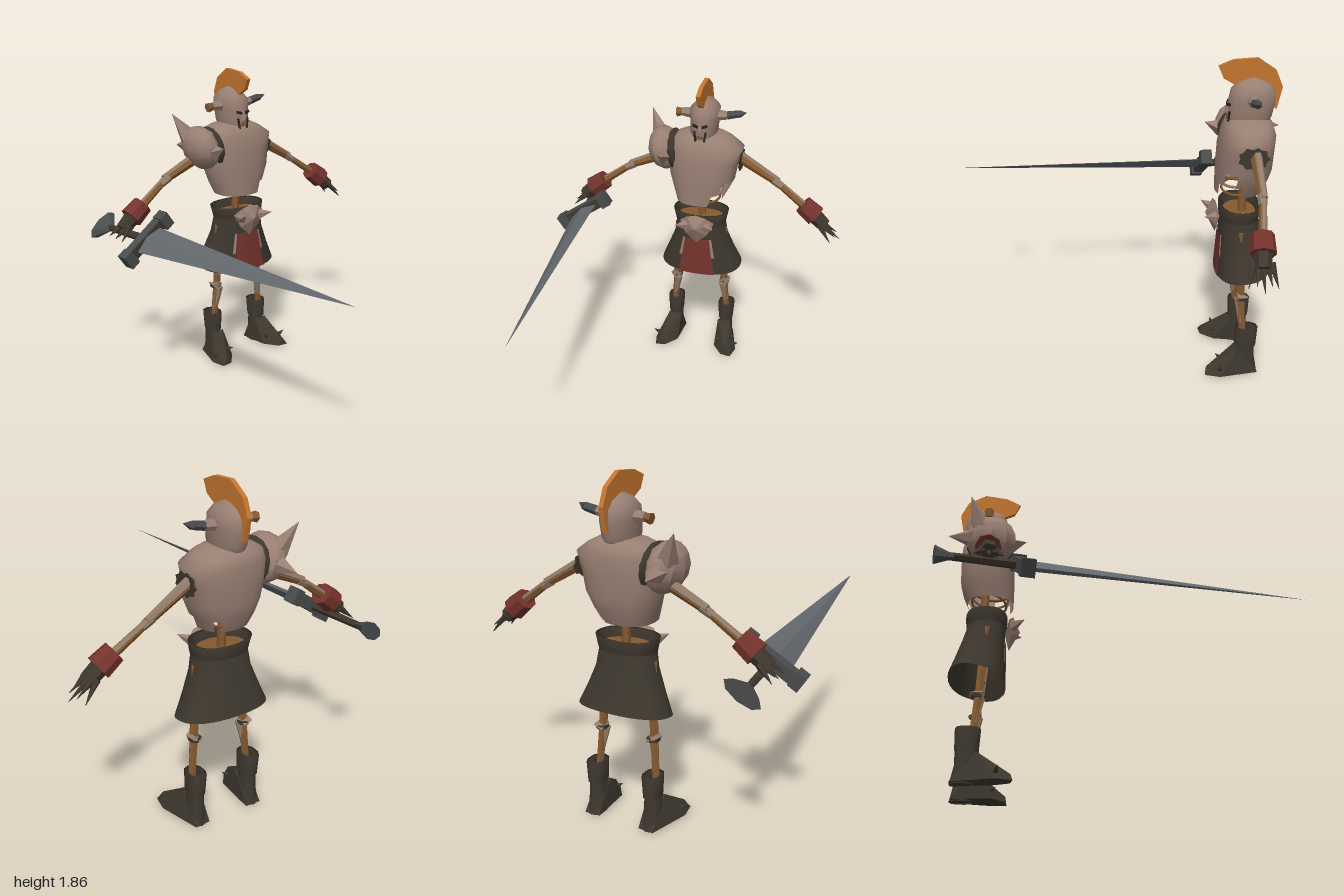
import * as THREE from 'three';
import { ConvexGeometry } from 'three/addons/geometries/ConvexGeometry.js';
import { toCreasedNormals } from 'three/addons/utils/BufferGeometryUtils.js';

const V = (x, y, z) => new THREE.Vector3(x, y, z);
const material = (name, color) => {
  const m = new THREE.MeshStandardMaterial({ color, side: THREE.DoubleSide });
  m.name = name;
  return m;
};

export function createModel() {
  const root = new THREE.Group();
  root.name = 'skeletonWarrior';
  const armor = material('paleArmor', 0x987f72);
  const leather = material('darkLeather', 0x3d372d);
  const red = material('redCloth', 0x75332d);
  const bone = material('brownBone', 0x84592f);
  const pale = material('paleBone', 0x927c69);
  const orange = material('orangeCrest', 0xc4752f);
  const steel = material('bladeSteel', 0x62676c);
  const horn = material('darkSteel', 0x484c4b);
  const black = material('shadowBrown', 0x2b241d);

  const add = (name, geo, mat, parent = root) => {
    const m = new THREE.Mesh(geo, mat);
    m.name = name;
    parent.add(m);
    return m;
  };
  const crease = (g) => toCreasedNormals(g, 0.6);

  // Tapered cylinder between two points
  const rod = (name, a, b, ra, rb, mat, sides = 6, parent = root) => {
    const dir = b.clone().sub(a);
    const m = add(name, crease(new THREE.CylinderGeometry(rb, ra, dir.length(), sides)), mat, parent);
    m.position.copy(a).addScaledVector(dir, 0.5);
    m.quaternion.setFromUnitVectors(V(0, 1, 0), dir.normalize());
    return m;
  };
  const spike = (name, a, b, r, mat, sides = 5) => rod(name, a, b, r, 0.001, mat, sides);
  const hull = (name, pts, mat) => add(name, new ConvexGeometry(pts.map((p) => V(...p))), mat);

  // Skin over rings [y, xMin, xMax, zMin, zMax, backLift], listed bottom to top
  const loft = (name, rings, mat, { n = 24, e = 0.85, grow = 0, keep = () => true } = {}) => {
    const pos = [], idx = [];
    const soft = (v) => Math.sign(v) * Math.abs(v) ** e;
    rings.forEach(([y, x0, x1, z0, z1, lift = 0]) => {
      for (let i = 0; i < n; i++) {
        const a = (i / n) * Math.PI * 2;
        const c = soft(Math.cos(a));
        pos.push((x0 + x1) / 2 + ((x1 - x0) / 2 + grow) * soft(Math.sin(a)),
          y + lift * (1 - c) / 2, (z0 + z1) / 2 + ((z1 - z0) / 2 + grow) * c);
      }
    });
    for (let j = 0; j < rings.length - 1; j++) for (let i = 0; i < n; i++) {
      if (!keep(i, j)) continue;
      const k = (i + 1) % n, a = j * n + i, b = j * n + k, c = b + n, d = a + n;
      idx.push(a, b, c, a, c, d);
    }
    const g = new THREE.BufferGeometry();
    g.setAttribute('position', new THREE.Float32BufferAttribute(pos, 3));
    g.setIndex(idx);
    g.computeVertexNormals();
    return add(name, g, mat);
  };

  // Breastplate, torn open at the lower left
  loft('breastplate', [
    [1.10, -0.14, 0.14, -0.82, -0.56], [1.17, -0.165, 0.175, -0.85, -0.56],
    [1.25, -0.19, 0.215, -0.87, -0.56], [1.37, -0.21, 0.235, -0.875, -0.565],
    [1.45, -0.21, 0.26, -0.875, -0.58], [1.50, -0.18, 0.19, -0.86, -0.60],
    [1.525, -0.13, 0.14, -0.83, -0.63], [1.54, -0.05, 0.07, -0.79, -0.68]],
  armor, { keep: (i, j) => !(j < 2 - (i === 2 || i === 5 ? 1 : 0) && i > 1 && i < 6) && !(j === 0 && i === 9) });
  // Ragged patch round the bare shoulder
  const rag = new THREE.Shape();
  for (let i = 0; i < 18; i++) {
    const a = (i / 18) * Math.PI * 2, r = i % 2 ? 0.9 : 1.08;
    rag[i ? 'lineTo' : 'moveTo'](0.08 * r * Math.cos(a), 0.062 * r * Math.sin(a));
  }
  const patch = add('shoulderRag', new THREE.ExtrudeGeometry(rag, { depth: 0.008, bevelEnabled: false }), leather);
  patch.position.set(0.243, 1.37, -0.735);
  patch.rotation.set(0, Math.PI / 2, 0);

  // Spine, ribs and pelvis
  rod('spine', V(0.01, 0.92, -0.72), V(0.01, 1.5, -0.73), 0.024, 0.022, bone);
  for (let i = 0; i < 4; i++) {
    const rib = add('rib', new THREE.TorusGeometry(1, 0.07, 5, 20), i % 2 ? pale : bone);
    rib.scale.set(0.115 + i * 0.015, 0.1 + i * 0.008, 0.11);
    rib.rotation.set(Math.PI / 2 + 0.12, (i - 1) * 0.08, 0);
    rib.position.set(0.01, 1.12 + i * 0.045, -0.70);
  }
  const pelvis = add('pelvis', new THREE.CylinderGeometry(0.15, 0.13, 0.03, 16), bone);
  pelvis.scale.z = 0.65;
  pelvis.position.set(0.01, 0.955, -0.71);

  // Skirt with its front cloth and belt
  const skirt = [[0.60, -0.25, 0.275, -0.9, -0.585, 0.055], [0.72, -0.205, 0.225, -0.87, -0.59, 0.03],
    [0.85, -0.16, 0.18, -0.84, -0.595], [0.96, -0.145, 0.165, -0.81, -0.6]];
  loft('skirt', skirt, leather, { n: 32 });
  loft('frontCloth', skirt.slice(0, 3), red, { n: 32, grow: 0.005, keep: (i) => i < 2 || i > 29 });
  loft('clothTatters', skirt.slice(0, 3), armor,
    { n: 64, grow: 0.004, keep: (i, j) => j === 1 && (i === 4 || i === 59) });
  loft('belt', [[0.945, -0.15, 0.17, -0.815, -0.595], [0.97, -0.155, 0.175, -0.82, -0.59],
    [1.02, -0.168, 0.185, -0.825, -0.59], [1.015, -0.15, 0.165, -0.81, -0.605],
    [0.96, -0.145, 0.16, -0.8, -0.61]], leather);
  // Horned belt plate
  hull('beltPlate', [[-0.1, 0.98, -0.585], [0.12, 0.98, -0.585], [-0.05, 1.02, -0.56], [0.07, 1.02, -0.56],
    [0.01, 1.035, -0.56], [0.01, 0.955, -0.515], [-0.06, 0.9, -0.57], [0.08, 0.9, -0.57], [0.01, 0.835, -0.575],
    [0.01, 0.93, -0.6]], armor);
  for (const s of [-1, 1]) spike('beltHorn', V(0.01 + s * 0.07, 0.96, -0.565), V(0.01 + s * 0.12, 0.98, -0.5), 0.035, armor);

  // Helmet
  loft('helmet', [[1.46, -0.02, 0.04, -0.8, -0.64], [1.49, -0.055, 0.075, -0.83, -0.625],
    [1.54, -0.072, 0.092, -0.855, -0.61], [1.62, -0.076, 0.096, -0.87, -0.61],
    [1.68, -0.08, 0.1, -0.865, -0.62], [1.72, -0.045, 0.065, -0.83, -0.65],
    [1.757, 0.005, 0.015, -0.75, -0.73]], armor, { n: 16, e: 0.95 });
  // Face details
  for (const s of [-1, 1]) {
    const eye = add('eyeSlit', new THREE.BoxGeometry(0.036, 0.016, 0.008), black);
    eye.position.set(0.01 + s * 0.028, 1.605, -0.612);
    eye.rotation.set(0, s * 0.3, s * 0.25);
    const cheek = add('cheekGap', new THREE.BoxGeometry(0.012, 0.07, 0.008), black);
    cheek.position.set(0.01 + s * 0.03, 1.535, -0.616);
    cheek.rotation.set(0, s * 0.3, s * -0.15);
  }
  add('mouth', new THREE.BoxGeometry(0.035, 0.018, 0.008), bone).position.set(0.01, 1.535, -0.61);
  hull('noseGuard', [[-0.005, 1.62, -0.615], [0.025, 1.62, -0.615], [0.01, 1.56, -0.59],
    [-0.008, 1.55, -0.615], [0.028, 1.55, -0.615]], armor);
  // Whole horn on the left, broken one on the right
  rod('hornSocket', V(0.08, 1.64, -0.735), V(0.15, 1.645, -0.735), 0.035, 0.025, armor);
  rod('hornBase', V(0.15, 1.645, -0.735), V(0.22, 1.66, -0.74), 0.025, 0.022, horn);
  spike('hornTip', V(0.22, 1.66, -0.74), V(0.265, 1.675, -0.73), 0.024, horn);
  rod('hornSocket', V(-0.06, 1.64, -0.735), V(-0.13, 1.64, -0.735), 0.035, 0.025, armor);
  rod('brokenHorn', V(-0.13, 1.64, -0.735), V(-0.165, 1.635, -0.735), 0.022, 0.03, bone);

  // Crest
  const crest = new THREE.Shape([[-0.55, 1.81], [-0.63, 1.845], [-0.76, 1.855], [-0.86, 1.79], [-0.9, 1.7],
    [-0.875, 1.575], [-0.84, 1.6], [-0.82, 1.7], [-0.74, 1.745], [-0.66, 1.7], [-0.58, 1.745]]
    .map(([z, y]) => new THREE.Vector2(-z, y)));
  const crestMesh = add('crest', new THREE.ExtrudeGeometry(crest, { depth: 0.026, bevelEnabled: false }), orange);
  crestMesh.rotation.y = Math.PI / 2;
  crestMesh.position.x = -0.003;

  // Spiked shoulder guard on the right
  const guard = add('shoulderGuard', crease(new THREE.SphereGeometry(1, 10, 7)), armor);
  guard.scale.set(0.1, 0.135, 0.145);
  guard.rotation.z = 0.25;
  guard.position.set(-0.235, 1.405, -0.715);
  const rim = add('shoulderGuardRim', new THREE.SphereGeometry(1, 12, 7), leather);
  rim.scale.set(0.045, 0.13, 0.135);
  rim.position.set(-0.165, 1.4, -0.715);
  rim.rotation.z = 0.15;
  spike('shoulderSpike', V(-0.275, 1.46, -0.78), V(-0.35, 1.605, -0.84), 0.06, armor);
  spike('shoulderSpike', V(-0.245, 1.4, -0.81), V(-0.26, 1.39, -0.95), 0.06, armor);
  spike('shoulderSpike', V(-0.215, 1.39, -0.61), V(-0.21, 1.425, -0.515), 0.055, armor, 4);

  for (const s of [-1, 1]) {
    const left = s > 0;
    // Arm
    const shoulder = left ? V(0.22, 1.385, -0.745) : V(-0.2, 1.36, -0.745);
    const elbow = V(s * 0.475, 1.235, -0.755), wrist = V(s * 0.665, 1.1, -0.735);
    const up = (v, d) => v.clone().add(V(s * d * 0.5, d, -d * 0.5));
    rod('upperArm', shoulder, elbow, 0.032, 0.022, bone);
    rod('upperArmBone', up(shoulder, 0.012), up(elbow, 0.01), 0.027, 0.02, pale);
    rod('elbow', elbow.clone().lerp(shoulder, 0.1), elbow.clone().lerp(wrist, 0.15), 0.026, 0.022, pale);
    rod('forearm', elbow, wrist, 0.02, 0.024, bone);
    rod('forearmBone', up(elbow, 0.008), up(wrist, 0.01), 0.014, 0.016, pale);
    // Cuff and clawed hand
    rod('cuff', V(s * 0.645, 1.12, -0.735), V(s * 0.73, 1.055, -0.73), 0.06, 0.068, red, 8);
    rod('palm', V(s * 0.72, 1.06, -0.73), V(s * 0.79, 1.0, -0.725), 0.048, 0.042, leather);
    for (let i = 0; i < 5; i++) {
      const z = -0.80 + i * 0.037;
      const tip = left ? V(0.89 - Math.abs(i - 2) * 0.025, 0.92 + (i % 2) * 0.025, z) : V(-0.84, 0.95 + (i % 2) * 0.02, z);
      spike('finger', V(s * 0.76, 1.02, -0.725 + (i - 2) * 0.022), tip, 0.021, leather);
    }

    // Leg
    const x = 0.01;
    const hip = V(x + s * 0.14, 0.9, -0.705), knee = V(x + s * 0.16, 0.51, -0.725), ankle = V(x + s * 0.18, 0.25, -0.745);
    rod('thigh', hip, knee, 0.03, 0.024, bone);
    rod('thighBone', hip.clone().add(V(s * -0.012, 0, 0.01)), knee.clone().add(V(s * -0.01, 0.06, 0.008)), 0.028, 0.025, pale);
    rod('shin', knee, ankle, 0.024, 0.02, bone);
    rod('shinBone', knee.clone().add(V(s * -0.01, -0.03, 0.01)), ankle.clone().add(V(s * -0.004, 0.08, 0.008)), 0.026, 0.018, pale);
    hull('kneecap', [[x + s * 0.13, 0.5, -0.71], [x + s * 0.2, 0.5, -0.71], [x + s * 0.165, 0.45, -0.7],
      [x + s * 0.14, 0.48, -0.775], [x + s * 0.19, 0.5, -0.775], [x + s * 0.165, 0.525, -0.7]], pale);
    rod('kneeStrap', V(x + s * 0.162, 0.475, -0.735), V(x + s * 0.162, 0.495, -0.735), 0.034, 0.037, leather);

    // Boot
    const bx = x + s * 0.175;
    const boot = (y, rx, z0, z1) => [y, bx - rx, bx + rx, z0, z1];
    loft('bootShaft', [boot(0, 0.045, -0.845, -0.72), boot(0.1, 0.045, -0.825, -0.71), boot(0.19, 0.042, -0.82, -0.715)], leather, { n: 10 });
    loft('bootCuff', [boot(0.18, 0.046, -0.83, -0.705), boot(0.3, 0.053, -0.835, -0.70), boot(0.295, 0.03, -0.8, -0.73)], leather, { n: 10 });
    hull('foot', [[bx - s * 0.05, 0.005, -0.84], [bx + s * 0.04, 0.005, -0.845], [bx - s * 0.045, 0.17, -0.72],
      [bx + s * 0.04, 0.17, -0.72], [bx - s * 0.045, 0.02, -0.62], [bx + s * 0.105, 0.015, -0.62],
      [bx + s * 0.02, 0.015, -0.54], [bx + s * 0.085, 0.015, -0.53], [bx + s * 0.05, 0.055, -0.54],
      [bx + s * 0.015, 0.12, -0.66], [bx - s * 0.04, 0.1, -0.8]], leather);
    spike('bootSpike', V(bx + s * 0.07, 0.05, -0.62), V(bx + s * 0.12, 0.08, -0.61), 0.02, leather);
    spike('bootSpike', V(bx - s * 0.01, 0.07, -0.63), V(bx - s * 0.04, 0.085, -0.6), 0.018, leather);
  }

  // Sword, built along its own z axis and laid into the right hand
  const sword = new THREE.Group();
  sword.name = 'sword';
  const base = V(-0.735, 0.97, -0.565), tip = V(-0.553, 1.005, 1.0);
  const length = tip.distanceTo(base);
  const zAxis = tip.clone().sub(base).normalize();
  const yAxis = zAxis.clone().cross(V(0.3, 0.2, -0.05)).normalize();
  sword.quaternion.setFromRotationMatrix(new THREE.Matrix4().makeBasis(yAxis.clone().cross(zAxis), yAxis, zAxis));
  sword.position.copy(base);
  root.add(sword);
  const blade = add('blade', toCreasedNormals(new THREE.ConeGeometry(1, length, 4).rotateX(Math.PI / 2), 0.1), steel, sword);
  blade.scale.set(0.1, 0.027, 1);
  blade.position.z = length / 2;
  add('crossGuard', new THREE.BoxGeometry(0.33, 0.07, 0.055), horn, sword);
  for (const s of [-1, 1]) add('guardEnd', new THREE.BoxGeometry(0.06, 0.09, 0.07), horn, sword).position.set(s * 0.155, 0, 0.01);
  add('guardPlate', new THREE.BoxGeometry(0.25, 0.06, 0.008), leather, sword).position.z = 0.029;
  rod('grip', V(0, 0, -0.36), V(0, 0, 0), 0.02, 0.024, leather, 6, sword);
  const pommel = rod('pommel', V(0, 0, -0.33), V(0, 0, -0.425), 0.025, 0.105, horn, 8, sword);
  pommel.scale.z = 0.45;
  return root;
}
